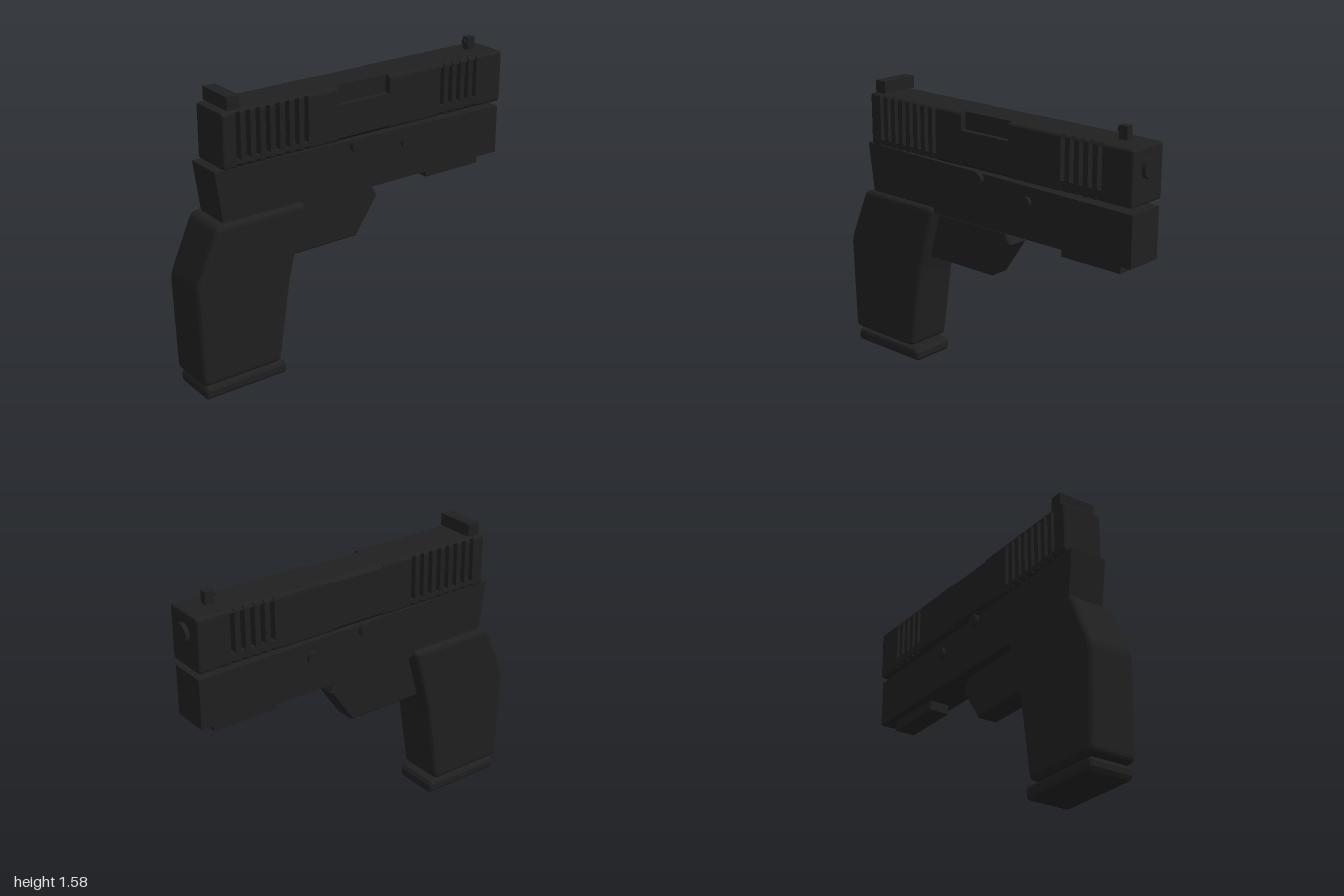
import * as THREE from 'three';
import { mergeGeometries } from 'three/addons/utils/BufferGeometryUtils.js';

const black = new THREE.MeshStandardMaterial({ color: 0x202020 });
black.name = 'matte black';

const shapeOf = pts => new THREE.Shape(pts.map(p => new THREE.Vector2(p[0], p[1])));

// Rounded version of a convex polygon
function roundedShape(pts, r) {
  const s = new THREE.Shape(), n = pts.length;
  const toward = (a, b) => a.clone().lerp(b, Math.min(0.45, r / a.distanceTo(b)));
  const v = pts.map(p => new THREE.Vector2(p[0], p[1]));
  v.forEach((p, i) => {
    const a = toward(p, v[(i + n - 1) % n]), b = toward(p, v[(i + 1) % n]);
    if (i) s.lineTo(a.x, a.y); else s.moveTo(a.x, a.y);
    s.quadraticCurveTo(p.x, p.y, b.x, b.y);
  });
  s.closePath();
  return s;
}

// Side profile of [z, y] points, extruded symmetrically to a total width in x
function sideSolid(shape, width, bevel = 0, segments = 3) {
  const g = new THREE.ExtrudeGeometry(shape, {
    depth: width - 2 * bevel, bevelEnabled: bevel > 0, bevelThickness: bevel,
    bevelSize: bevel, bevelOffset: -bevel, bevelSegments: segments, curveSegments: 4
  });
  g.translate(0, 0, bevel - width / 2);
  return g.rotateY(-Math.PI / 2);
}

// Cross-section of [x, y] points, extruded from z0 to z1
function section(shape, z0, z1, bevel = 0) {
  const g = new THREE.ExtrudeGeometry(shape, {
    depth: z1 - z0 - 2 * bevel, bevelEnabled: bevel > 0, bevelThickness: bevel,
    bevelSize: bevel, bevelOffset: -bevel, bevelSegments: 2, curveSegments: 4
  });
  return g.translate(0, 0, z0 + bevel);
}

function slideGeometry() {
  const W = 0.12, Y0 = 1.216, Y1 = 1.505, REAR = 0.811, MUZZLE = -0.977, c = 0.02;
  const full = roundedShape([[-W, Y0], [W, Y0], [W, Y1], [-W, Y1]], c);
  const ported = shapeOf([[-W + c, Y0], [W - c, Y0], [W, Y0 + c], [W, 1.41], [0.085, 1.41],
    [0.085, Y1], [-W + c, Y1], [-W, Y1 - c], [-W, Y0 + c]]);
  const below = top => shapeOf([[-W + c, Y0], [W - c, Y0], [W, Y0 + c], [W, top], [-W, top], [-W, Y0 + c]]);
  const above = bottom => shapeOf([[-W + 0.006, bottom], [W - 0.006, bottom], [W - c, Y1], [-W + c, Y1]]);
  const parts = [];
  let z = MUZZLE + 0.03;
  const solidTo = end => { parts.push(section(full, z, end)); z = end; };
  const slots = (first, count, bottom, top) => {
    for (let i = 0; i < count; i++) {
      solidTo(first + i * 0.0569);
      parts.push(section(below(bottom), z, z + 0.026), section(above(top), z, z + 0.026));
      z += 0.026;
    }
  };
  // Front slots, ejection port, rear slots
  slots(-0.796, 5, 1.275, 1.484);
  solidTo(-0.2);
  parts.push(section(ported, z, 0.125));
  z = 0.125;
  slots(0.311, 8, 1.254, 1.498);
  solidTo(REAR - 0.025);
  // Rounded ends
  parts.push(section(full, MUZZLE, MUZZLE + 0.1, 0.012), section(full, REAR - 0.065, REAR, 0.012));
  return mergeGeometries(parts);
}

export function createModel() {
  const model = new THREE.Group();
  const add = (name, geometry, x = 0, y = 0, z = 0) => {
    const m = new THREE.Mesh(geometry, black);
    m.name = name;
    m.position.set(x, y, z);
    model.add(m);
    return m;
  };

  add('slide', slideGeometry());
  add('muzzle', new THREE.CylinderGeometry(0.053, 0.053, 0.06, 16).rotateX(Math.PI / 2), 0, 1.397, -0.97);

  // Sights
  add('rearSight', new THREE.BoxGeometry(0.22, 0.068, 0.07), 0, 1.546, 0.74);
  add('frontSight', new THREE.BoxGeometry(0.04, 0.068, 0.05), 0, 1.546, -0.84);
  add('frontSightDot', new THREE.CylinderGeometry(0.013, 0.013, 0.02, 12).rotateX(Math.PI / 2), 0, 1.557, -0.81);

  // Frame and the rail under it
  add('frame', sideSolid(shapeOf([[0.854, 1.216], [0.812, 0.912], [-0.975, 0.912], [-0.975, 1.184]]), 0.212));
  add('rail', new THREE.BoxGeometry(0.12, 0.07, 0.37), 0, 0.89, -0.695);

  // Solid trigger guard
  add('triggerGuard', sideSolid(shapeOf([[0.46, 0.632], [-0.033, 0.632], [-0.17, 0.835],
    [-0.13, 0.9], [0.46, 0.9]]), 0.13, 0.01, 1));

  // Grip and base plate
  add('grip', sideSolid(roundedShape([[0.865, 0.942], [0.335, 0.942], [0.44, 0.55], [0.51, 0.082],
    [0.982, 0.082], [1.0, 0.63]], 0.035), 0.276, 0.028));
  add('basePlate', sideSolid(shapeOf([[0.955, 0], [0.485, 0], [0.475, 0.015], [0.475, 0.05],
    [0.49, 0.07], [0.955, 0.07], [0.967, 0.05], [0.967, 0.02]]), 0.262, 0.02, 2));

  // Cross pins
  for (const [name, r, width, y, z] of [['rearPin', 0.035, 0.264, 1.172, 0.011], ['frontPin', 0.03, 0.25, 1.113, -0.318]])
    add(name, new THREE.CylinderGeometry(r, r, width, 12).rotateZ(Math.PI / 2), 0, y, z);

  return model;
}
